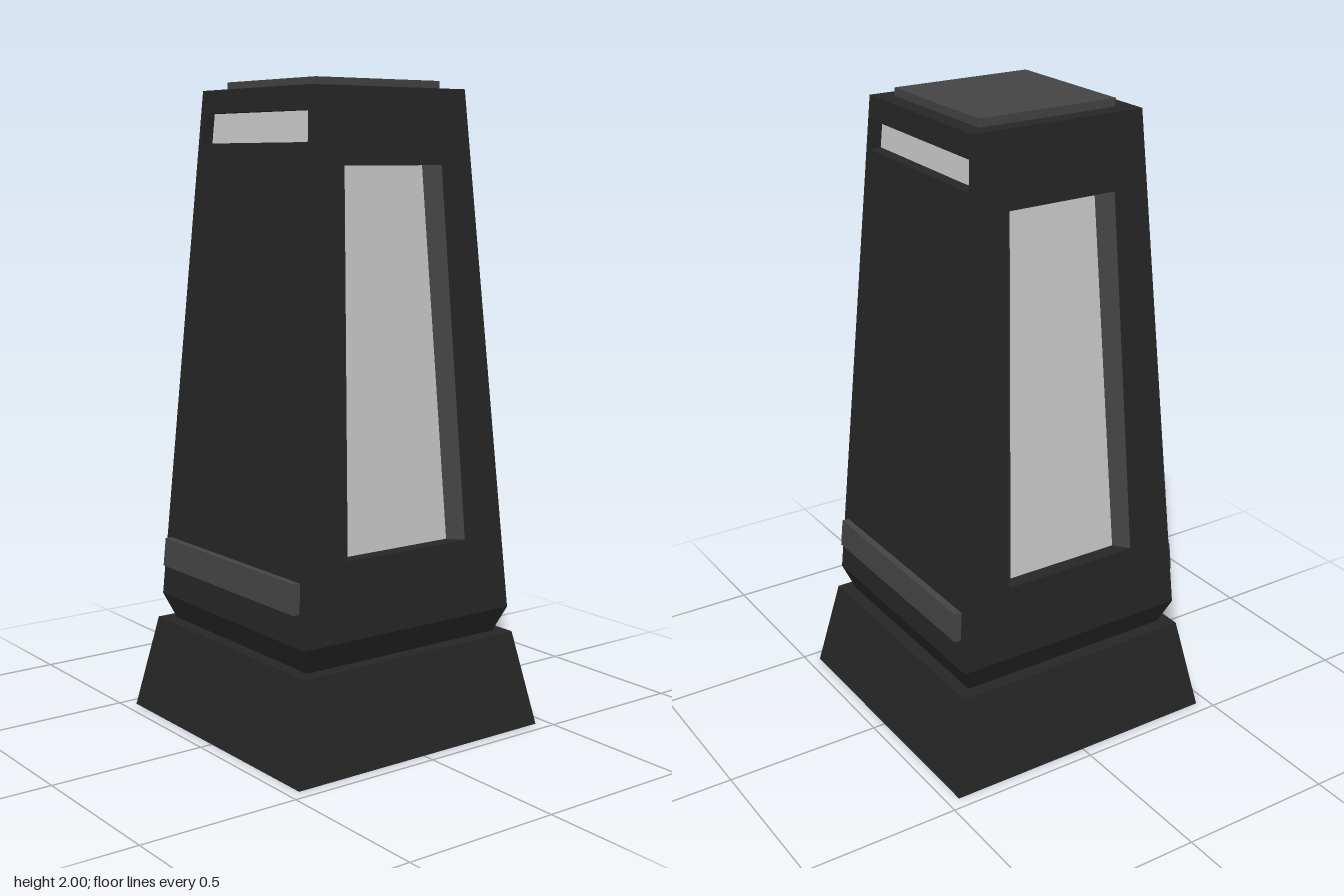
import * as THREE from 'three';

const material = (color) => new THREE.MeshStandardMaterial({ color, flatShading: true });
const dark = material(0x262626), trim = material(0x444444), pale = material(0xcccccc);

const BODY_BOTTOM = 0.38, BODY_TOP = 1.975;
// Distance of the tapering body wall from the axis at height y
const wall = (y) => THREE.MathUtils.mapLinear(y, BODY_BOTTOM, BODY_TOP, 0.392, 0.284);

function mesh(name, geometry, mat) {
  const m = new THREE.Mesh(geometry, mat);
  m.name = name;
  return m;
}

// Square block that tapers from one half-width to another
function taperedBlock(name, half0, half1, y0, y1, mat) {
  const g = new THREE.CylinderGeometry(half1 * Math.SQRT2, half0 * Math.SQRT2, y1 - y0, 4);
  g.rotateY(Math.PI / 4).translate(0, (y0 + y1) / 2, 0);
  return mesh(name, g, mat);
}

// Trapezoid following the wall slope, sunk inward by depth; corners counterclockwise
function trapezoid(y0, y1, half0, half1, depth = 0) {
  const z0 = wall(y0) - depth, z1 = wall(y1) - depth;
  return [[-half0, y0, z0], [half0, y0, z0], [half1, y1, z1], [-half1, y1, z1]];
}

function quads(list) {
  const points = list.flatMap(([a, b, c, d]) => [a, b, c, a, c, d]).flat();
  const g = new THREE.BufferGeometry();
  g.setAttribute('position', new THREE.Float32BufferAttribute(points, 3));
  g.computeVertexNormals();
  return g;
}

// Four quads joining an outer trapezoid to an inner one: bottom, right, top, left
const ring = (outer, inner) => outer.map((p, i) => {
  const j = (i + 1) % 4;
  return [p, outer[j], inner[j], inner[i]];
});

// One body side with a recessed panel, built facing +z
function bodySide(name, opening, inset, jambMaterial) {
  const side = new THREE.Group();
  side.name = name;
  const outer = trapezoid(BODY_BOTTOM, BODY_TOP, wall(BODY_BOTTOM), wall(BODY_TOP));
  const hole = trapezoid(...opening), panel = trapezoid(...inset);
  const [sill, right, head, left] = ring(hole, panel);
  side.add(
    mesh('wall', quads(ring(outer, hole)), dark),
    mesh('sillAndHead', quads([sill, head]), dark),
    mesh('jambs', quads([right, left]), jambMaterial),
    mesh('panel', quads([panel]), pale),
  );
  return side;
}

// Raised bar leaning with the wall
function bar() {
  const g = new THREE.BoxGeometry(0.72, 0.09, 0.044);
  g.translate(0, 0.525, 0);
  const p = g.attributes.position;
  for (let i = 0; i < p.count; i++) {
    p.setZ(i, p.getZ(i) + wall(p.getY(i)));
    if (p.getY(i) > 0.525) p.setX(i, p.getX(i) * 0.985);
  }
  g.computeVertexNormals();
  return mesh('sideBar', g, trim);
}

export function createModel() {
  const model = new THREE.Group();
  model.name = 'lanternPillar';

  // Plinth and the undercut foot of the body
  model.add(taperedBlock('plinth', 0.46, 0.403, 0, 0.3, dark));
  model.add(taperedBlock('bodyFoot', 0.36, wall(BODY_BOTTOM), 0.3, BODY_BOTTOM, dark));

  // Tall windows at front and back
  for (const [name, angle] of [['frontSide', 0], ['backSide', Math.PI]]) {
    const side = bodySide(name, [0.615, 1.75, 0.226, 0.183], [0.615, 1.75, 0.19, 0.145, 0.046], trim);
    side.rotation.y = angle;
    model.add(side);
  }

  // Narrow slots and raised bars at left and right
  for (const [name, angle] of [['leftSide', Math.PI / 2], ['rightSide', -Math.PI / 2]]) {
    const side = bodySide(name, [1.815, 1.905, 0.28, 0.274], [1.815, 1.905, 0.28, 0.274, 0.04], dark);
    side.add(bar());
    side.rotation.y = angle;
    model.add(side);
  }

  // Flat top and cap plate
  const deck = new THREE.PlaneGeometry(2 * wall(BODY_TOP), 2 * wall(BODY_TOP));
  deck.rotateX(-Math.PI / 2).translate(0, BODY_TOP, 0);
  model.add(mesh('topDeck', deck, dark));
  model.add(taperedBlock('capPlate', 0.23, 0.23, BODY_TOP, 2, trim));

  return model;
}
